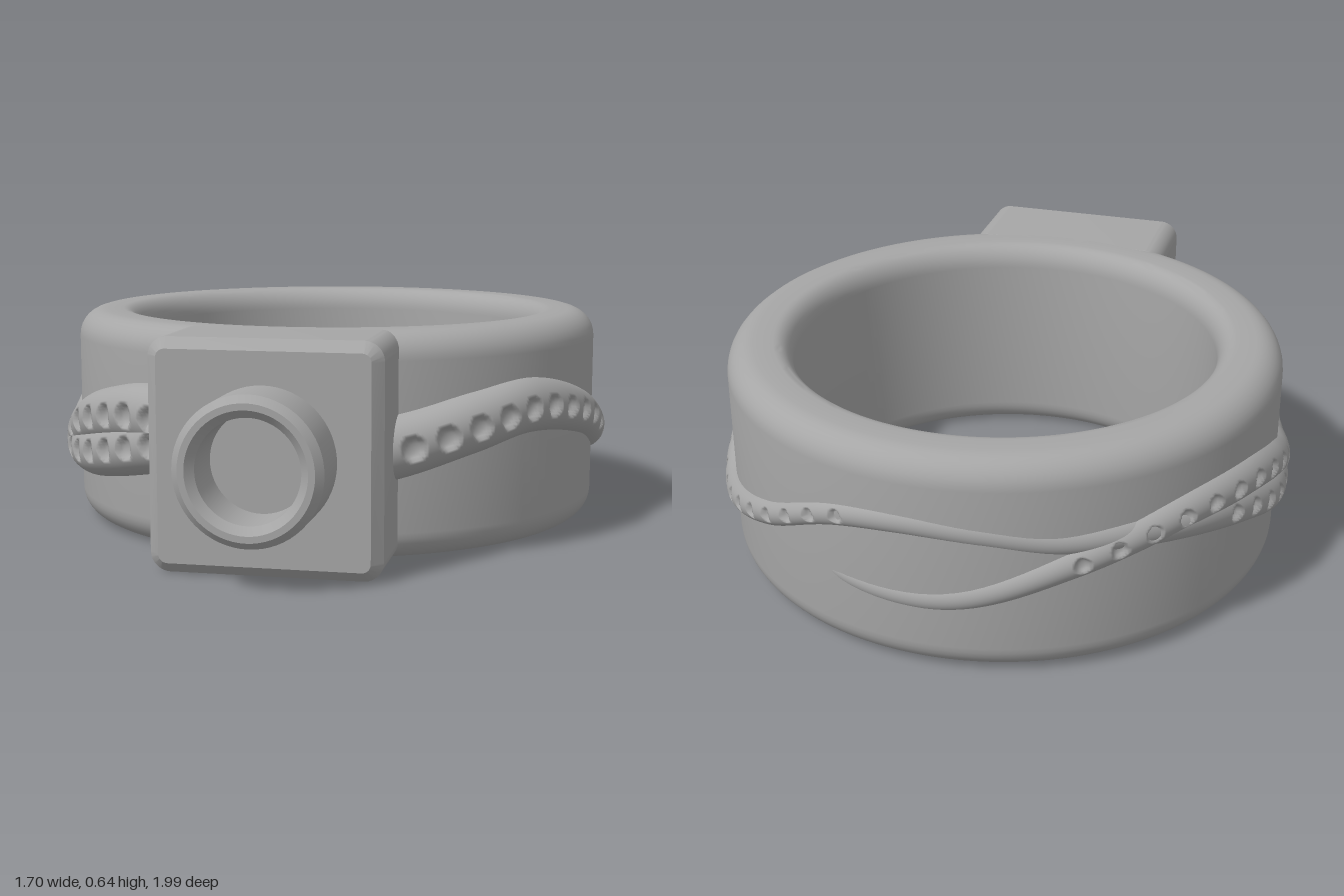
import * as THREE from 'three';
import { toCreasedNormals } from 'three/addons/utils/BufferGeometryUtils.js';

const RING_Z = -0.175, H = 0.64, OUTER = 0.81, INNER = 0.62;
const rad = THREE.MathUtils.degToRad;

// Strand keys: [angle from front, height, tube radius, distance of tube centre from ring axis]
const LONG_STRAND = [
  [14, 0.30, 0.09, 0.805], [25, 0.33, 0.09, 0.80], [39, 0.378, 0.088, 0.795], [55, 0.41, 0.084, 0.78],
  [76, 0.355, 0.072, 0.783], [91, 0.28, 0.065, 0.787], [111, 0.208, 0.056, 0.79], [123, 0.22, 0.052, 0.789],
  [143, 0.305, 0.046, 0.785], [161, 0.41, 0.043, 0.782], [176, 0.44, 0.043, 0.776], [192, 0.425, 0.043, 0.772],
  [206, 0.395, 0.043, 0.774], [222, 0.39, 0.05, 0.78], [237, 0.365, 0.055, 0.785], [251, 0.32, 0.06, 0.785],
  [264, 0.26, 0.065, 0.785], [276, 0.222, 0.068, 0.782], [286, 0.222, 0.072, 0.782], [306, 0.325, 0.082, 0.785],
  [321, 0.372, 0.086, 0.79], [330, 0.385, 0.09, 0.795], [346, 0.375, 0.09, 0.80],
];
const SHORT_STRAND = [
  [155, 0.26, 0.03, 0.775], [165, 0.225, 0.036, 0.776], [180, 0.215, 0.042, 0.774], [191, 0.24, 0.046, 0.774],
  [210, 0.335, 0.052, 0.78], [231, 0.41, 0.058, 0.786], [250, 0.41, 0.062, 0.787], [265, 0.36, 0.066, 0.785],
  [279, 0.28, 0.07, 0.782], [292, 0.235, 0.075, 0.784], [306, 0.235, 0.08, 0.788], [321, 0.27, 0.085, 0.792],
  [335, 0.31, 0.088, 0.80], [346, 0.325, 0.09, 0.80],
];

// Smooth interpolation of the strand keys at any angle
function sampleKeys(keys, angle) {
  let i = 0;
  while (i < keys.length - 2 && angle > keys[i + 1][0]) i++;
  const slope = (n, k) => {
    const a = keys[Math.max(n - 1, 0)], b = keys[Math.min(n + 1, keys.length - 1)];
    return (b[k] - a[k]) / (b[0] - a[0]);
  };
  const w = keys[i + 1][0] - keys[i][0], t = (angle - keys[i][0]) / w;
  const t2 = t * t, t3 = t2 * t;
  return [1, 2, 3].map((k) =>
    (2 * t3 - 3 * t2 + 1) * keys[i][k] + (t3 - 2 * t2 + t) * w * slope(i, k) +
    (3 * t2 - 2 * t3) * keys[i + 1][k] + (t3 - t2) * w * slope(i + 1, k));
}

// Evenly spaced angles from a to b
function spaced(a, b, step) {
  const out = [];
  for (let v = a; v <= b; v += step) out.push(v);
  return out;
}

// Raised strand wrapped round the ring, with round pits pressed in along its crest
function strandGeometry(keys, pitAngles) {
  const start = keys[0][0], end = keys[keys.length - 1][0];
  const rows = Math.round((end - start) * 2.4), cols = 38;
  const pits = pitAngles.map((angle) => {
    const [y, r] = sampleKeys(keys, angle);
    return { angle, y, size: 0.006 + r * 0.31 };
  });
  const positions = [], index = [];
  for (let i = 0; i <= rows; i++) {
    const angle = start + (end - start) * i / rows, a = rad(angle);
    const [y0, r, centre] = sampleKeys(keys, angle);
    const near = pits.filter((p) => Math.abs(p.angle - angle) < 3.5);
    for (let j = 0; j <= cols; j++) {
      const s = rad(-110 + 220 * j / cols);
      const y = y0 + r * Math.sin(s);
      let dist = centre + r * Math.cos(s);
      if (Math.cos(s) > 0) {
        for (const p of near) {
          const d2 = (rad(angle - p.angle) * 0.85) ** 2 + (y - p.y) ** 2;
          if (d2 < p.size ** 2) dist -= 0.9 * Math.sqrt(p.size ** 2 - d2);
        }
      }
      positions.push(Math.sin(a) * dist, y, RING_Z + Math.cos(a) * dist);
      if (i < rows && j < cols) {
        const n = i * (cols + 1) + j, m = n + cols + 1;
        index.push(n, m, n + 1, m, m + 1, n + 1);
      }
    }
  }
  const geo = new THREE.BufferGeometry();
  geo.setAttribute('position', new THREE.Float32BufferAttribute(positions, 3));
  geo.setIndex(index);
  geo.computeVertexNormals();
  return geo;
}

// Closed band profile with rounded outer and inner edges
function bandGeometry() {
  const pts = [];
  const corner = (cx, cy, rx, ry, from) => {
    for (let i = 0; i <= 8; i++) {
      const a = rad(from + 90 * i / 8);
      pts.push(new THREE.Vector2(cx + rx * Math.cos(a), cy + ry * Math.sin(a)));
    }
  };
  const f = 0.08, g = 0.055, gh = 0.07;
  corner(OUTER - f, f, f, f, -90);
  corner(OUTER - f, H - f, f, f, 0);
  corner(INNER + g, H - gh, g, gh, 90);
  corner(INNER + g, gh, g, gh, 180);
  pts.push(pts[0].clone());
  return toCreasedNormals(new THREE.LatheGeometry(pts, 144), 0.5);
}

// Block with softly rounded corners and a chamfered face
function blockGeometry() {
  const bevel = 0.03, h = 0.32 - bevel, r = 0.025;
  const shape = new THREE.Shape();
  shape.moveTo(h, -h + r);
  shape.absarc(h - r, h - r, r, 0, Math.PI / 2);
  shape.absarc(-h + r, h - r, r, Math.PI / 2, Math.PI);
  shape.absarc(-h + r, -h + r, r, Math.PI, Math.PI * 1.5);
  shape.absarc(h - r, -h + r, r, Math.PI * 1.5, Math.PI * 2);
  const geo = new THREE.ExtrudeGeometry(shape, {
    depth: 0.27, bevelThickness: bevel, bevelSize: bevel, bevelSegments: 1, curveSegments: 6,
  });
  return toCreasedNormals(geo, 0.5);
}

// Hollow round socket with chamfered lips
function socketGeometry() {
  const profile = [[0.2, 0.8], [0.2, 0.98], [0.18, 1], [0.162, 1], [0.14, 0.978], [0.14, 0.83], [0, 0.83]];
  const geo = new THREE.LatheGeometry(profile.map(([x, y]) => new THREE.Vector2(x, y)), 64);
  geo.rotateX(Math.PI / 2);
  return toCreasedNormals(geo, 0.5);
}

export function createModel() {
  const group = new THREE.Group();
  group.name = 'ring';
  const metal = new THREE.MeshStandardMaterial({ color: 0xa6a6a6 });
  metal.name = 'grey metal';
  const add = (name, geo, x = 0, y = 0, z = 0) => {
    const mesh = new THREE.Mesh(geo, metal);
    mesh.name = name;
    mesh.position.set(x, y, z);
    group.add(mesh);
  };
  add('band', bandGeometry(), 0, 0, RING_Z);
  add('settingBlock', blockGeometry(), 0, H / 2, 0.52);
  add('socket', socketGeometry(), 0, H / 2, 0);
  add('longStrand', strandGeometry(LONG_STRAND, [...spaced(25, 168, 6.6), ...spaced(245, 336, 6.9)]));
  add('shortStrand', strandGeometry(SHORT_STRAND, spaced(210.5, 336, 6.9)));
  return group;
}
